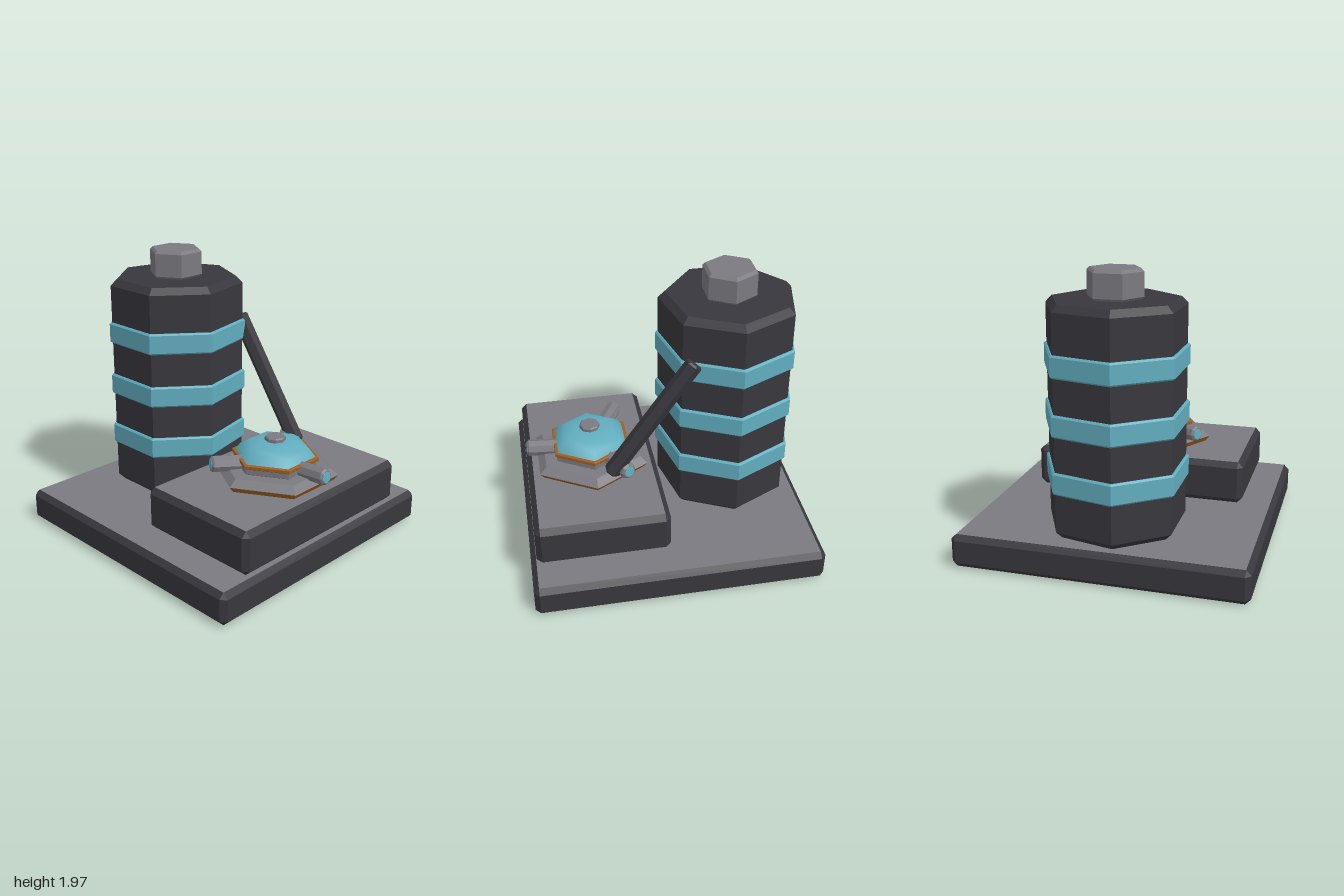
import * as THREE from 'three';
import { ConvexGeometry } from 'three/addons/geometries/ConvexGeometry.js';

const paint = (name, color) => {
  const m = new THREE.MeshStandardMaterial({ color });
  m.name = name;
  return m;
};

export function createModel() {
  const dark = paint('charcoal', 0x38373d);
  const grey = paint('grey', 0x7a7a80);
  const teal = paint('teal', 0x61adbf);
  const orange = paint('orange', 0x9f5f20);

  const model = new THREE.Group();
  const add = (name, geometry, material, x = 0, y = 0, z = 0, parent = model) => {
    const mesh = new THREE.Mesh(geometry, material);
    mesh.name = name;
    mesh.position.set(x, y, z);
    parent.add(mesh);
    return mesh;
  };

  // Turned profile of [radius, height] pairs with few sides and a corner on +x
  const turned = (profile, sides, flat = true) => {
    const points = profile.map(([r, y]) => new THREE.Vector2(r, y));
    const smooth = new THREE.LatheGeometry(points, sides).rotateY(Math.PI / 2);
    if (!flat) return smooth;
    const faceted = smooth.toNonIndexed();
    faceted.computeVertexNormals();
    return faceted;
  };

  // Closed prism standing on y = 0 with chamfered rims
  const prism = (r, h, c, sides) =>
    turned([[0, 0], [r - c, 0], [r, c], [r, h - c], [r - c, h], [0, h]], sides);

  // Box with every edge chamfered; the top and bottom faces use material 1
  const chamferBox = (w, h, d, c) => {
    const points = [];
    for (const sx of [-1, 1]) for (const sy of [-1, 1]) for (const sz of [-1, 1]) {
      for (let axis = 0; axis < 3; axis++) {
        const inset = [c, c, c];
        inset[axis] = 0;
        points.push(new THREE.Vector3(
          sx * (w / 2 - inset[0]), sy * (h / 2 - inset[1]), sz * (d / 2 - inset[2])));
      }
    }
    const g = new ConvexGeometry(points);
    const normal = g.attributes.normal;
    for (let i = 0; i < normal.count; i += 3) {
      g.addGroup(i, 3, Math.abs(normal.getY(i)) > 0.99 ? 1 : 0);
    }
    return g;
  };

  // Base and raised block
  add('base', chamferBox(2, 0.23, 2, 0.036), [dark, grey], 0, 0.115, 0);
  add('raisedBlock', chamferBox(1.535, 0.305, 0.92, 0.038), [dark, grey], 0, 0.3825, 0.5);

  // Seven-sided tank with bands and a hexagonal cap
  const tank = new THREE.Group();
  tank.name = 'tank';
  tank.position.z = -0.485;
  model.add(tank);
  add('tankBody', prism(0.478, 1.54, 0.045, 7), dark, 0, 0.23, 0, tank);
  for (const y of [0.54, 0.925, 1.31]) {
    add('tankBand', prism(0.497, 0.15, 0.012, 7), teal, 0, y, 0, tank);
  }
  add('tankCap', prism(0.192, 0.2, 0.02, 6), grey, 0, 1.765, 0, tank);

  // Hexagonal valve: flange, collar, trim and dome
  const valve = new THREE.Group();
  valve.name = 'valve';
  valve.position.z = 0.495;
  model.add(valve);
  add('flangeUnderside', turned([[0, 0.535], [0.41, 0.535], [0.44, 0.575]], 6), orange, 0, 0, 0, valve);
  add('flangeTop', turned([[0.44, 0.575], [0.385, 0.62], [0, 0.62]], 6), grey, 0, 0, 0, valve);
  add('collar', prism(0.29, 0.05, 0.005, 6), grey, 0, 0.618, 0, valve);
  add('trimRing', prism(0.304, 0.027, 0.004, 6), orange, 0, 0.663, 0, valve);
  add('dome', turned([[0.28, 0.69], [0.245, 0.735], [0.185, 0.772], [0.1, 0.786], [0, 0.788]], 6, false),
    teal, 0, 0, 0, valve);
  add('domeButton', prism(0.072, 0.037, 0.008, 8), grey, 0, 0.779, 0, valve);

  // Three outlets, tilted slightly upward
  for (let i = 0; i < 3; i++) {
    const outlet = new THREE.Group();
    outlet.name = 'outlet';
    outlet.rotation.y = i * Math.PI * 2 / 3;
    valve.add(outlet);
    const pipe = new THREE.Group();
    pipe.name = 'outletPipe';
    pipe.position.set(0, 0.632, 0.1);
    pipe.rotation.x = Math.PI / 2 - 0.07;
    outlet.add(pipe);
    add('pipeBody', prism(0.058, 0.355, 0.012, 8), grey, 0, 0, 0, pipe);
    add('pipeOpening', prism(0.04, 0.006, 0.001, 8), teal, 0, 0.352, 0, pipe);
  }

  // Slanted bar leaning from the block to the tank
  const foot = new THREE.Vector3(0.346, 0.632, 0.39);
  const head = new THREE.Vector3(0.346, 1.462, -0.185);
  const along = head.clone().sub(foot);
  const bar = add('leaningBar', prism(0.06, along.length(), 0.012, 6), dark, ...foot.toArray());
  bar.quaternion.setFromUnitVectors(new THREE.Vector3(0, 1, 0), along.normalize());

  return model;
}
